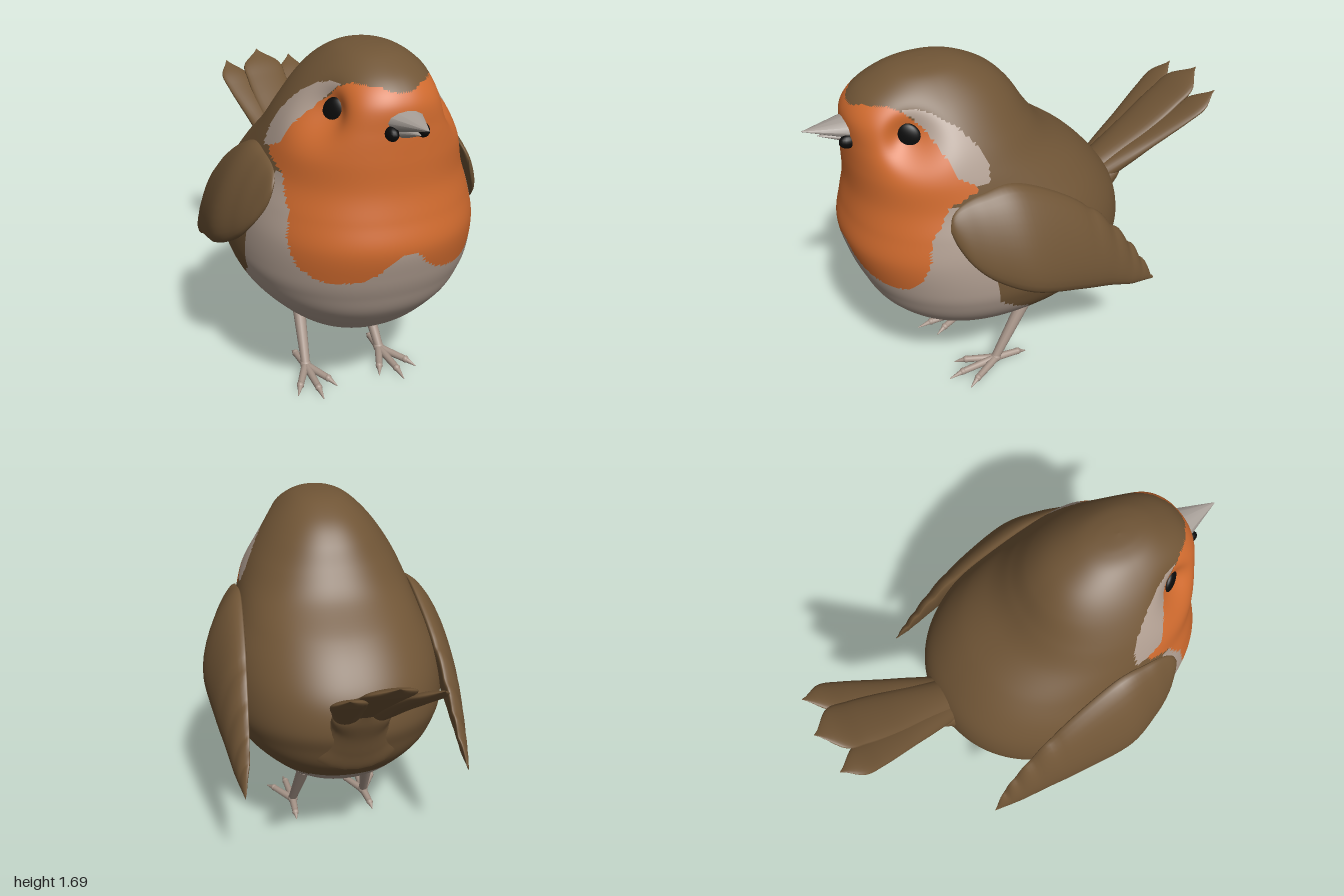
import * as THREE from 'three';

const V = (x, y, z) => new THREE.Vector3(x, y, z);
const mat = (name, color) => Object.assign(new THREE.MeshStandardMaterial({ color }), { name });

// Smooth interpolation through a table of rows, t in 0..1
function spline(rows) {
  return (t) => {
    const s = t * (rows.length - 1), i = Math.min(Math.floor(s), rows.length - 2), f = s - i;
    const row = (k) => rows[THREE.MathUtils.clamp(k, 0, rows.length - 1)];
    return rows[0].map((_, k) => {
      const a = row(i - 1)[k], b = row(i)[k], c = row(i + 1)[k], d = row(i + 2)[k];
      return b + 0.5 * f * (c - a + f * (2 * a - 5 * b + 4 * c - d + f * (3 * (b - c) + d - a)));
    });
  };
}

// Skin closed rings; zone(centre) optionally picks a material index for each face
function loft(rings, zone = () => 0) {
  const n = rings[0].length, pts = rings.flat(), buckets = [];
  const face = (a, b, c) => {
    const m = zone(V(0, 0, 0).add(pts[a]).add(pts[b]).add(pts[c]).divideScalar(3));
    (buckets[m] ||= []).push(a, b, c);
  };
  for (let r = 0; r < rings.length - 1; r++) {
    for (let j = 0; j < n; j++) {
      const a = r * n + j, c = r * n + (j + 1) % n;
      face(a, a + n, c);
      face(c, a + n, c + n);
    }
  }
  const g = new THREE.BufferGeometry().setFromPoints(pts);
  g.setIndex(buckets.flat());
  let start = 0;
  buckets.forEach((b, m) => { g.addGroup(start, b.length, m); start += b.length; });
  g.computeVertexNormals();
  return g;
}

// Is (z, y) inside a side-on outline?
function inside(poly, z, y) {
  let hit = false;
  poly.forEach(([z1, y1], i) => {
    const [z2, y2] = poly[(i + 1) % poly.length];
    if ((y1 > y) !== (y2 > y) && z < (z2 - z1) * (y - y1) / (y2 - y1) + z1) hit = !hit;
  });
  return hit;
}

// Plumage patches, outlined as [z, y]
const CHEEK = [[.64, 1.575], [.58, 1.575], [.52, 1.555], [.44, 1.5], [.37, 1.41], [.345, 1.33],
  [.355, 1.265], [.41, 1.275], [.48, 1.31], [.52, 1.41], [.56, 1.49], [.6, 1.54]];
const BIB = [[1, 1.55], [.8, 1.56], [.76, 1.585], [.68, 1.59], [.63, 1.565], [.6, 1.53], [.56, 1.49],
  [.52, 1.41], [.48, 1.31], [.41, 1.275], [.42, 1.25], [.54, 1.2], [.58, 1.12], [.63, 1.06],
  [.64, .97], [.68, .86], [.73, .8], [.79, .785], [1, .7]];
const BELLY = [[1, 1.2], [.5, 1.2], [.4, .95], [.38, .82], [.375, .71], [.3, .65], [.2, .58],
  [.17, .515], [.03, .49], [-.1, .48], [-.26, .49], [-.6, .53], [-.6, .2], [1, .2]];

function plumage({ x, y, z }) {
  if (inside(CHEEK, z, y)) return 2;
  if (inside(BIB, z, y) && y > .79 + .13 * Math.exp(-((x / .12) ** 2))) return 1;
  return inside(BELLY, z, y) ? 2 : 0;
}

// Head and body as one surface: [y, front z, back z, half width]
function bodyGeometry() {
  const at = spline([[1.692, .47, .47, 0], [1.685, .57, .36, .07], [1.66, .655, .27, .14],
    [1.6, .76, .16, .215], [1.52, .82, .08, .285], [1.41, .83, .01, .355], [1.3, .835, -.08, .405],
    [1.17, .84, -.25, .45], [1.05, .865, -.36, .5], [.93, .89, -.43, .53], [.8, .865, -.45, .54],
    [.7, .83, -.42, .525], [.58, .77, -.365, .465], [.43, .62, -.22, .32], [.34, .41, -.05, .18],
    [.305, .28, .06, .08], [.3, .17, .17, 0]]);
  const round = (v) => Math.sign(v) * Math.abs(v) ** (2 / 2.2);
  const rings = [];
  for (let r = 0; r <= 144; r++) {
    const [y, zf, zb, hw] = at(r / 144);
    rings.push(Array.from({ length: 192 }, (_, j) => {
      const a = j / 192 * Math.PI * 2;
      const p = V(hw * round(Math.sin(a)), y, (zf + zb) / 2 + (zf - zb) / 2 * round(Math.cos(a)));
      // eye sockets
      const side = Math.sign(p.x);
      p.x -= side * .08 * Math.exp(-p.distanceToSquared(V(side * .28, 1.455, .63)) / .011);
      return p;
    }));
  }
  return loft(rings, plumage);
}

// Folded wing: [z, top y, bottom y, top x, bottom x, bulge]
function wingGeometry(side) {
  const at = spline([[.56, 1.13, 1.12, .46, .46, 0], [.54, 1.18, 1.05, .44, .485, .02],
    [.49, 1.215, .96, .43, .53, .035], [.4, 1.24, .87, .43, .565, .06], [.24, 1.245, .78, .43, .6, .085],
    [0, 1.115, .685, .45, .575, .08], [-.18, .95, .62, .47, .555, .06], [-.3, .8, .57, .485, .545, .04],
    [-.38, .675, .55, .5, .535, .025], [-.45, .54, .535, .53, .53, 0]]);
  const rings = [];
  for (let r = 0; r <= 64; r++) {
    const t = r / 64;
    let [z, y1, y0, x1, x0, b] = at(t);
    // scalloped feather ends on the trailing edge
    if (t > .6 && t < .97) y1 += .025 * (Math.abs(Math.sin((t - .6) * 34)) - .5);
    const ring = Array.from({ length: 28 }, (_, j) => {
      const a = j / 28 * Math.PI * 2, c = Math.cos(a) / 2, s = Math.sin(a);
      return V(side * ((x1 + x0) / 2 - (x1 - x0) * c + b * s * (s > 0 ? 1 : .4)),
        (y1 + y0) / 2 - (y1 - y0) * c, z);
    });
    rings.push(side > 0 ? ring : ring.reverse());
  }
  return loft(rings);
}

// Tapered flat form running from a to b; sizes are [half width, half thickness] along it
function blade(a, b, sizes) {
  const at = spline(sizes), n = V(1, 0, 0).cross(b.clone().sub(a)).normalize().negate();
  if (n.y < 0) n.negate();
  return loft(Array.from({ length: 33 }, (_, r) => {
    const [w, h] = at(r / 32), c = a.clone().lerp(b, r / 32);
    return Array.from({ length: 24 }, (_, j) => {
      const q = j / 24 * Math.PI * 2;
      return c.clone().addScaledVector(V(1, 0, 0), w * Math.cos(q)).addScaledVector(n, h * Math.sin(q));
    });
  }));
}

// Tapered round limb between two points
function limb(a, b, r0, r1) {
  const d = b.clone().sub(a);
  const g = new THREE.CylinderGeometry(r1, r0, d.length(), 12);
  g.applyQuaternion(new THREE.Quaternion().setFromUnitVectors(V(0, 1, 0), d.normalize()));
  const m = a.clone().add(b).divideScalar(2);
  return g.translate(m.x, m.y, m.z);
}

export function createModel() {
  const brown = mat('brown feathers', 0x705536), orange = mat('orange feathers', 0xcf6a2e);
  const cream = mat('pale feathers', 0xae9c8f), horn = mat('beak horn', 0xa79f98);
  const skin = mat('leg skin', 0xa8968a), black = mat('black', 0x0b0b0b);
  const model = new THREE.Group();
  const add = (name, geometry, material, parent = model) => {
    const mesh = new THREE.Mesh(geometry, material);
    mesh.name = name;
    parent.add(mesh);
    return mesh;
  };

  add('body', bodyGeometry(), [brown, orange, cream]);

  // Tail: a thick root and three overlapping feathers
  add('tailRoot', blade(V(0, .75, -.28), V(0, .97, -.56),
    [[.26, .2], [.19, .15], [.14, .095], [.12, .05], [0, 0]]), brown);
  add('middleTailFeather', blade(V(0, .88, -.38), V(0, 1.305, -1),
    [[.09, .06], [.095, .05], [.1, .04], [.105, .032], [.11, .028], [.11, .024], [.1, .02], [0, 0]]), brown);

  for (const side of [1, -1]) {
    const label = side > 0 ? 'left' : 'right';
    add(label + 'TailFeather', blade(V(side * .05, .86, -.38), V(side * .185, 1.265, -.98),
      [[.06, .05], [.064, .045], [.068, .038], [.07, .03], [.074, .026], [.076, .022], [.068, .018], [0, 0]]), brown);
    add(label + 'Wing', wingGeometry(side), brown);

    // Eye
    const eye = add(label + 'Eye', new THREE.SphereGeometry(1, 28, 18), black);
    eye.scale.set(.058, .064, .026);
    eye.position.set(side * .208, 1.455, .622);
    eye.lookAt(side * 1.008, 1.5, 1.222);

    // Dark corner of the beak
    const corner = add(label + 'BeakCorner', new THREE.SphereGeometry(1, 16, 10), black);
    corner.scale.set(.026, .03, .04);
    corner.position.set(side * .066, 1.418, .83);

    // Leg and foot
    const leg = new THREE.Group();
    leg.name = label + 'Leg';
    model.add(leg);
    const ankle = V(side * .2, .04, .245), hip = V(side * .17, .33, .06);
    add('thigh', limb(V(side * .165, .42, .01), hip, .075, .034), skin, leg);
    add('shank', limb(hip, ankle, .034, .022), skin, leg);
    const joint = add('ankle', new THREE.SphereGeometry(.027, 14, 10), skin, leg);
    joint.position.copy(ankle).setY(.032);
    for (const [x, z] of [[.21, .51], [.312, .44], [.112, .44], [.21, .08]]) {
      const tip = V(side * x, .008, z), base = ankle.clone().setY(.027);
      const knuckle = base.clone().lerp(tip, .72).setY(.023);
      add('toe', limb(base, knuckle, .02, .016), skin, leg);
      const pad = add('toePad', new THREE.SphereGeometry(.018, 10, 8), skin, leg);
      pad.position.copy(knuckle);
      add('claw', limb(knuckle, tip, .015, .002), skin, leg);
    }
  }

  // Beak
  const upper = limb(V(0, 0, 0), V(0, 0, .23), 1, .02).scale(.1, .055, 1);
  add('upperBeak', upper, horn).position.set(0, 1.452, .77);
  model.getObjectByName('upperBeak').rotation.x = -.1;
  const lower = limb(V(0, 0, 0), V(0, 0, .14), 1, .05).scale(.05, .03, 1);
  add('lowerBeak', lower, horn).position.set(0, 1.41, .8);
  model.getObjectByName('lowerBeak').rotation.x = -.2;

  return model;
}
